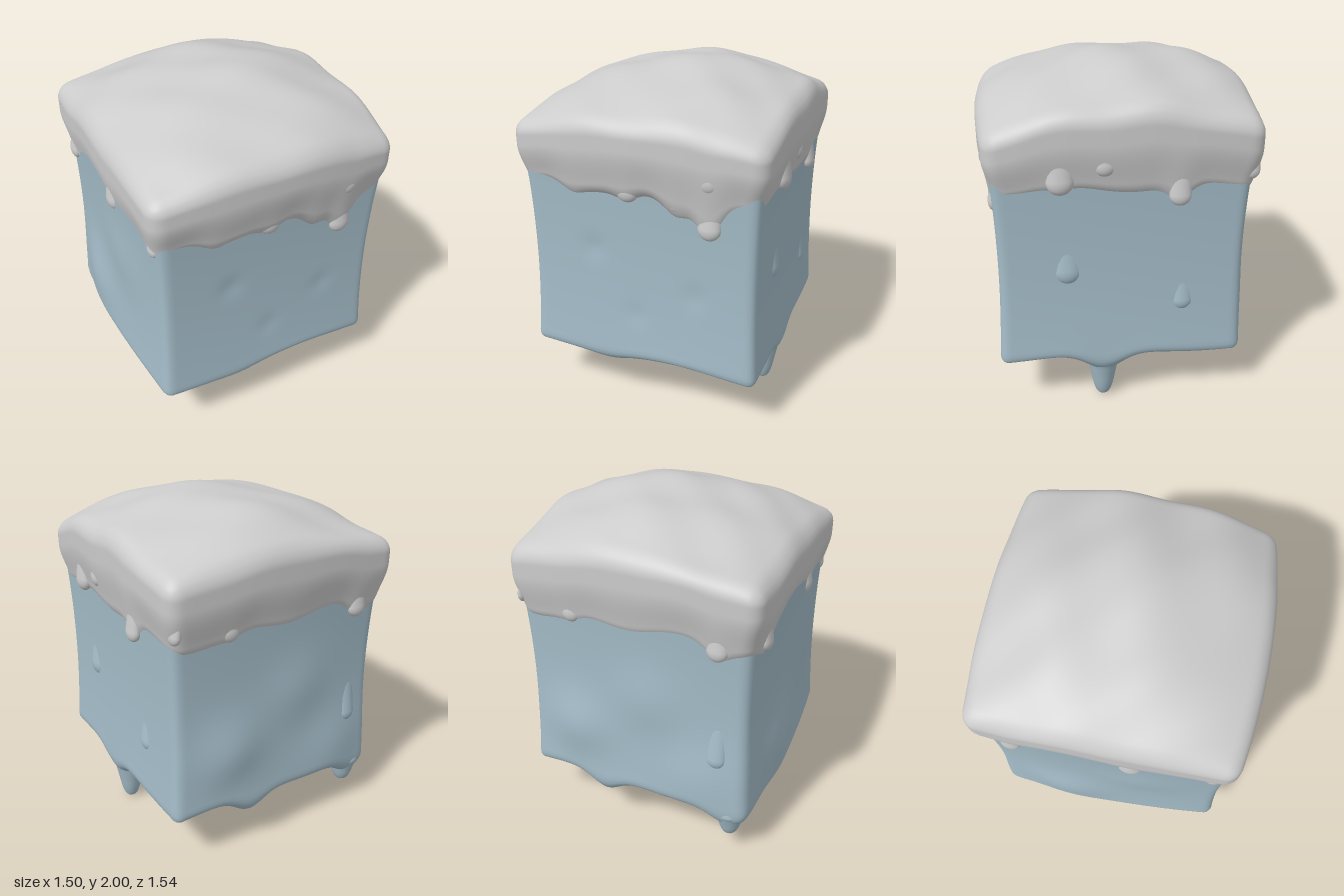
import * as THREE from 'three';
import { mergeVertices } from 'three/addons/utils/BufferGeometryUtils.js';

const snow = new THREE.MeshStandardMaterial({ color: 0xcccccc });
const ice = new THREE.MeshStandardMaterial({ color: 0xa4bcc8 });

// Snow drips: face, position along it, lower end, depth, radius, length
const snowDrips = [
  ['+z', -0.25, 1.54, 0.715, 0.06, 0.08], ['+z', -0.05, 1.33, 0.675, 0.07, 0.14],
  ['+z', 0.23, 1.31, 0.67, 0.07, 0.14], ['+z', 0.41, 1.45, 0.7, 0.07, 0.1],
  ['+z', 0.41, 1.18, 0.665, 0.065, 0.22], ['+z', -0.38, 1.34, 0.655, 0.06, 0.12],
  ['+x', 0.33, 1.38, 0.685, 0.075, 0.12], ['+x', 0.1, 1.48, 0.7, 0.06, 0.08],
  ['+x', -0.3, 1.29, 0.68, 0.06, 0.2], ['+x', -0.68, 1.41, 0.65, 0.05, 0.12],
  ['-z', 0.35, 1.36, 0.69, 0.06, 0.12], ['-z', -0.5, 1.31, 0.69, 0.06, 0.16],
  ['-x', -0.52, 1.33, 0.685, 0.06, 0.14], ['-x', 0.15, 1.37, 0.695, 0.07, 0.12],
  ['-x', 0.6, 1.34, 0.665, 0.05, 0.12],
];
// Meltwater drips on the ice
const iceDrips = [
  ['+x', 0.3, 0.82, 0.632, 0.085, 0.14], ['+x', -0.34, 0.62, 0.64, 0.065, 0.2],
  ['-z', -0.5, 0.62, 0.672, 0.06, 0.18],
];

// Dense box with rounded edges, centred on the origin, whose vertices are moved by a rule.
function softBox(hx, hy, hz, r, rule) {
  let g = new THREE.BoxGeometry(2 * hx, 2 * hy, 2 * hz, 64, 48, 64);
  g.deleteAttribute('uv');
  g.deleteAttribute('normal');
  g = mergeVertices(g, 1e-4);
  const pos = g.attributes.position;
  const p = new THREE.Vector3(), core = new THREE.Vector3();
  const inner = new THREE.Vector3(hx - r, hy - r, hz - r);
  const innerMin = inner.clone().negate();
  for (let i = 0; i < pos.count; i++) {
    p.fromBufferAttribute(pos, i);
    core.copy(p).clamp(innerMin, inner);
    p.sub(core).setLength(r).add(core);
    rule(p);
    pos.setXYZ(i, p.x, p.y, p.z);
  }
  g.computeVertexNormals();
  return g;
}

// Soft swellings and dents of the ice: centre, radius, push.
const swells = [
  [[-0.7, 0.6, -0.25], 0.24, [-0.04, 0, 0]],
  [[-0.7, 1.05, 0.2], 0.22, [-0.015, 0, 0]],
  [[0.35, 0.68, -0.7], 0.2, [0, 0, -0.04]],
  [[-0.1, 0.95, -0.7], 0.2, [0, 0, -0.02]],
  [[-0.4, 0.5, -0.7], 0.22, [0, 0, -0.025]],
  [[-0.27, 1.02, 0.68], 0.07, [0, 0, -0.008]],
  [[0.33, 0.82, 0.68], 0.07, [0, 0, -0.006]],
  [[-0.02, 0.64, 0.68], 0.07, [0, 0, -0.006]],
  // underside: hollow, blunt drops and the roots of the icicles
  [[0, 0.25, 0], 0.13, [0, 0.05, 0]],
  [[-0.2, 0.3, 0.52], 0.14, [0, -0.07, 0]],
  [[0.2, 0.31, -0.63], 0.13, [0, -0.12, -0.02]],
  [[0.6, 0.32, 0.1], 0.15, [0, -0.14, 0]],
  [[-0.58, 0.31, -0.62], 0.14, [0, -0.13, 0]],
].map(([c, r, d]) => ({ c: new THREE.Vector3(...c), r, d: new THREE.Vector3(...d) }));

function iceRule(p) {
  const s = p.y / 0.63, u = p.x / 0.69, w = p.z / 0.7;
  const a = 1 - u * u, b = 1 - w * w;
  const waist = 1 - 0.035 * (1 - s * s);
  // sides pinch at the corners and swell in the middle; underside sags
  p.x *= waist * (1 + (u < 0 ? 0.07 : 0.02) * b);
  p.z *= waist * (1 + (w < 0 ? 0.05 : 0.015) * a);
  p.y += 0.95;
  if (s < 0) p.y -= s * s * s * s * (0.085 * a * b - 0.02 * (a + b) + 0.015 * Math.sin(6 * p.x + 5 * p.z));
  const q = p.clone();
  for (const { c, r, d } of swells) p.addScaledVector(d, Math.exp(-q.distanceToSquared(c) / (r * r)));
}

function capRule(p) {
  const t = (p.y + 0.2) / 0.4, u = p.x / 0.71, w = p.z / 0.71;
  const a = 1 - u * u, b = 1 - w * w;
  // widening sides
  const wide = 0.945 + 0.06 * THREE.MathUtils.smoothstep(t, 0, 0.65);
  p.x *= wide * (u < 0 ? 1.02 + 0.025 * b : 1 + 0.05 * b);
  p.z *= wide * (w > 0 ? 1 + 0.085 * a : 1.035 + 0.045 * a);
  // ragged rim that runs down into the drips
  let rim = 1.345 + 0.02 * Math.sin(11 * p.x + 2 * p.z) + 0.02 * Math.sin(9 * p.z - 3 * p.x + 1);
  for (const [face, along, y, depth] of snowDrips) {
    const d = face[0] === '+' ? depth : -depth;
    const dx = p.x - (face[1] === 'x' ? d : along), dz = p.z - (face[1] === 'x' ? along : d);
    if (y < 1.4) rim -= 0.75 * (1.4 - y) * Math.exp(-(dx * dx + dz * dz) / 0.007);
  }
  // domed, lumpy top
  const top = 1.695 + 0.1 * a + 0.1 * b + 0.09 * a * b + 0.035 * u * b - 0.02 * w * a
    + 0.014 * Math.sin(7 * p.x + 4 * p.z) * Math.cos(6 * p.z - 2 * p.x)
    + 0.008 * Math.sin(13 * p.z - 5 * p.x + 1) * Math.cos(8 * p.x);
  p.y = rim + t * (top - rim);
}

// Hanging icicle whose root is buried in the block
function icicle(x, z, tip, root, girth) {
  const profile = [[0, 0], [0.28, 0.01], [0.47, 0.06], [0.66, 0.2], [0.82, 0.4], [0.98, 0.6], [1.1, 0.75], [0.8, 1], [0, 1.1]];
  const curve = new THREE.SplineCurve(profile.map(([r, h]) => new THREE.Vector2(r * girth, h * (root - tip))));
  const points = curve.getPoints(40).map(v => new THREE.Vector2(Math.max(v.x, 0), Math.max(v.y, 0)));
  const m = new THREE.Mesh(new THREE.LatheGeometry(points, 28), ice);
  m.position.set(x, tip, z);
  m.name = 'icicle';
  return m;
}

// Flattened drop on a face, leaning so that its upper end sinks into the surface
function drip([face, along, y, depth, r, len], mat, name) {
  const m = new THREE.Mesh(new THREE.CapsuleGeometry(r, len, 10, 20), mat);
  const side = face[0] === '+' ? 1 : -1;
  const lean = 0.15;
  const h = y + r + len / 2;
  if (face[1] === 'x') {
    m.position.set(side * depth, h, along);
    m.scale.x = 0.6;
    m.rotation.z = side * lean;
  } else {
    m.position.set(along, h, side * depth);
    m.scale.z = 0.6;
    m.rotation.x = -side * lean;
  }
  m.name = name;
  return m;
}

export function createModel() {
  const model = new THREE.Group();

  const block = new THREE.Mesh(softBox(0.69, 0.63, 0.7, 0.05, iceRule), ice);
  block.name = 'iceBlock';
  const cap = new THREE.Mesh(softBox(0.71, 0.2, 0.71, 0.07, capRule), snow);
  cap.name = 'snowCap';
  model.add(block, cap);

  model.add(icicle(0.58, 0.1, 0, 0.38, 0.09));
  model.add(icicle(-0.575, -0.625, 0.13, 0.36, 0.086));

  for (const d of snowDrips) model.add(drip(d, snow, 'snowDrip'));
  for (const d of iceDrips) model.add(drip(d, ice, 'iceDrip'));

  return model;
}
